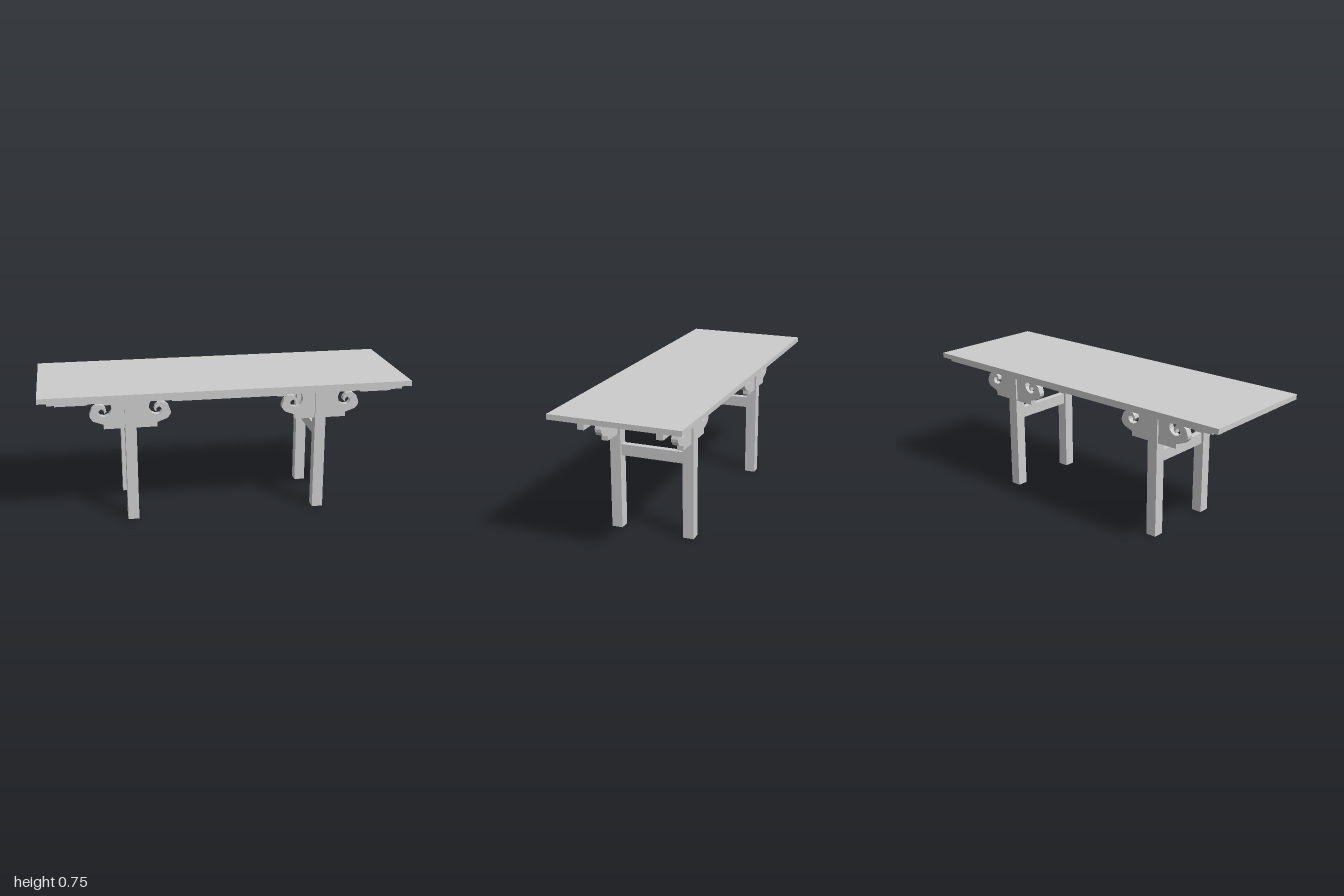
import * as THREE from 'three';

const LEG_X = 0.522, LEG_Z = 0.205, SHIFT = 0.006;
const APRON_TOP = 0.707, APRON_LOW = 0.667, APRON_HALF = 0.92;

// Half of a scrolled bracket: [distance from leg axis, height], from its foot to the apron
const SCROLL = [
  [0.144, 0.53], [0.144, 0.555], [0.198, 0.575], [0.215, 0.596], [0.217, 0.612],
  [0.204, 0.647], [0.185, 0.663], [0.166, 0.668], [0.145, 0.66], [0.131, 0.644],
  [0.127, 0.628], [0.139, 0.613], [0.141, 0.634], [0.155, 0.642], [0.168, 0.631],
  [0.168, 0.615], [0.157, 0.602], [0.136, 0.599], [0.115, 0.609], [0.102, 0.626],
  [0.099, 0.647], [0.107, 0.67], [0.123, 0.69], [0.147, 0.7], [0.168, 0.7],
  [0.195, 0.692], [0.216, 0.68], [0.227, APRON_LOW],
];

export function createModel() {
  const group = new THREE.Group();
  const material = new THREE.MeshStandardMaterial({ color: 0xcccccc });

  function add(name, geometry, x, y, z) {
    const mesh = new THREE.Mesh(geometry, material);
    mesh.name = name;
    mesh.position.set(x, y, z);
    group.add(mesh);
  }
  // Box given by its bottom and top heights
  function box(name, w, y0, y1, d, x = 0, z = 0) {
    add(name, new THREE.BoxGeometry(w, y1 - y0, d), x, (y0 + y1) / 2, z);
  }

  // Top and the stepped frame under it
  box('tableTop', 2, 0.725, 0.753, 0.7);
  box('topFrame', 1.904, APRON_TOP, 0.725, 0.66);

  // Apron with a pair of scrolled brackets at each leg, as one outline
  const outline = [[-APRON_HALF, APRON_TOP], [-APRON_HALF, APRON_LOW]];
  for (const cx of [-LEG_X, LEG_X]) {
    for (const [u, y] of [...SCROLL].reverse()) outline.push([cx - u, y]);
    for (const [u, y] of SCROLL) outline.push([cx + u, y]);
  }
  outline.push([APRON_HALF, APRON_LOW], [APRON_HALF, APRON_TOP]);
  const apronShape = new THREE.Shape(outline.map(([x, y]) => new THREE.Vector2(x, y)));
  const apron = new THREE.ExtrudeGeometry(apronShape, { depth: 0.035, bevelEnabled: false });
  apron.translate(0, 0, -0.0175);

  for (const side of [1, -1]) {
    const end = side > 0 ? 'front' : 'back';
    add(end + 'Apron', apron, SHIFT, 0, side * 0.2075);
    // Legs
    for (const sx of [1, -1]) {
      box(end + (sx > 0 ? 'LeftLeg' : 'RightLeg'), 0.06, 0, APRON_TOP, 0.06, sx * LEG_X + SHIFT, side * LEG_Z);
    }
  }

  // Stretchers joining front and back legs
  for (const sx of [1, -1]) {
    box(sx > 0 ? 'leftStretcher' : 'rightStretcher', 0.035, 0.411, 0.473, 0.35, sx * LEG_X + SHIFT, 0);
  }
  return group;
}
